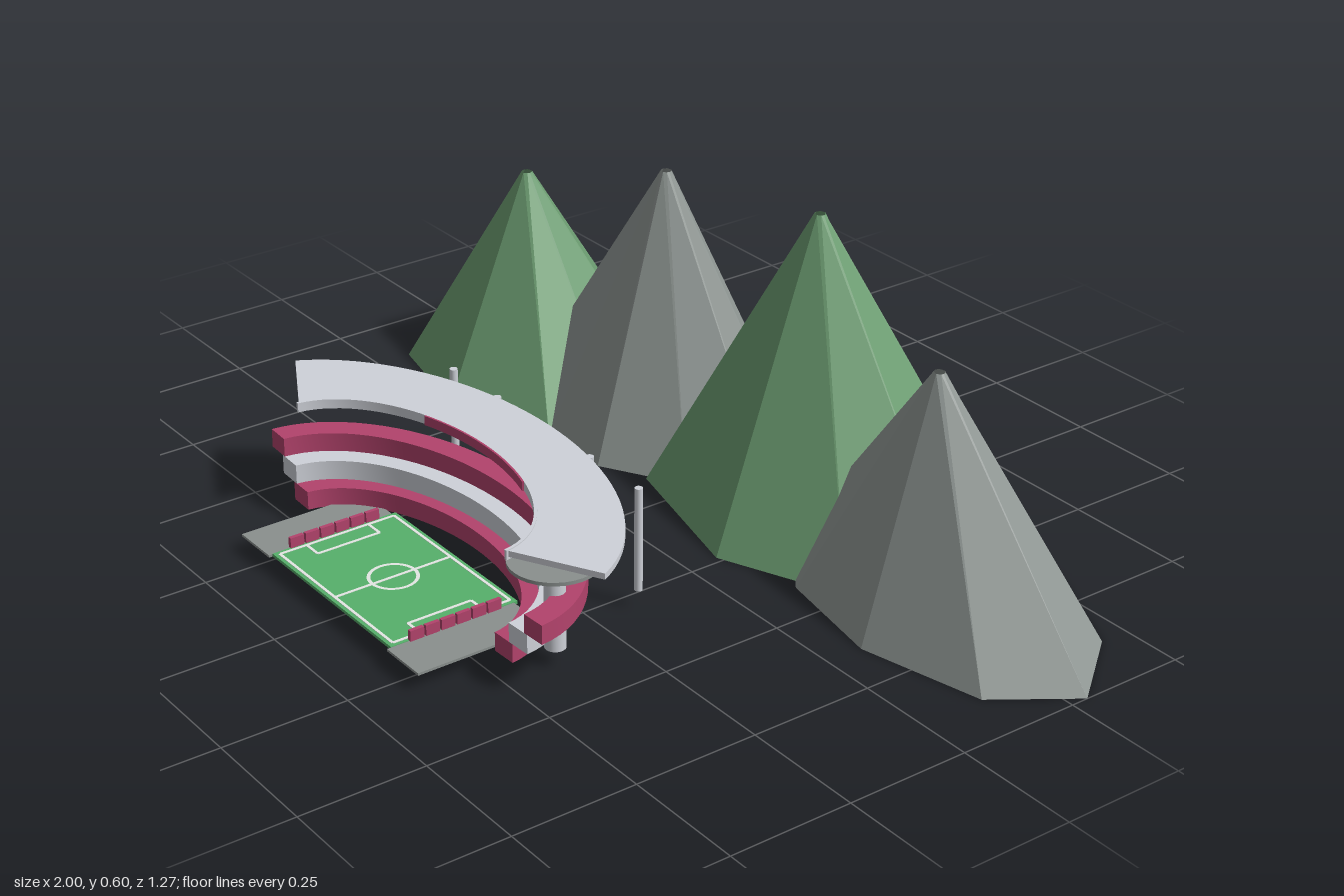
import * as THREE from 'three';
import { toCreasedNormals } from 'three/addons/utils/BufferGeometryUtils.js';

const mat = (name, color, extra = {}) => {
  const m = new THREE.MeshStandardMaterial({ color, ...extra });
  m.name = name;
  return m;
};

export function createModel() {
  const model = new THREE.Group();
  model.name = 'mountainStadium';
  const open = { flatShading: true, side: THREE.DoubleSide };
  const green = mat('hillGreen', 0x6c9c71, open);
  const rock = mat('rockGrey', 0x909794, open);
  const red = mat('standRed', 0xb3436c);
  const light = mat('concreteLight', 0xcfd2d9);
  const grey = mat('apronGrey', 0x8a908e);
  const grass = mat('pitchGreen', 0x57b06b);
  const white = mat('lineWhite', 0xf2f5f2);

  const add = (parent, name, geometry, material, x = 0, y = 0, z = 0) => {
    const mesh = new THREE.Mesh(geometry, material);
    mesh.name = name;
    mesh.position.set(x, y, z);
    parent.add(mesh);
    return mesh;
  };
  const box = (parent, name, w, h, d, material, x, y, z) =>
    add(parent, name, new THREE.BoxGeometry(w, h, d), material, x, y, z);

  // Mountains: open faceted frustums over an irregular foot outline (x, z around the peak)
  const mountain = (name, material, x, z, height, foot) => {
    const n = foot.length, v = [];
    const top = i => {
      const [fx, fz] = foot[i], k = 0.011 / Math.hypot(fx, fz);
      return [fx * k, height, fz * k];
    };
    for (let i = 0; i < n; i++) {
      const j = (i + 1) % n;
      const a = [foot[i][0], 0, foot[i][1]], b = [foot[j][0], 0, foot[j][1]];
      v.push(...a, ...top(j), ...b, ...a, ...top(i), ...top(j));
    }
    const g = new THREE.BufferGeometry();
    g.setAttribute('position', new THREE.Float32BufferAttribute(v, 3));
    g.computeVertexNormals();
    add(model, name, g, material, x, 0, z);
  };
  // Outlines run from the back edge clockwise as seen from above
  mountain('leftGreenMountain', green, -0.67, -0.27, 0.435, [
    [0.07, -0.262], [0.29, -0.16], [0.32, 0], [0.308, 0.166], [0.07, 0.248],
    [-0.176, 0.193], [-0.278, 0.07], [-0.33, -0.075], [-0.198, -0.214]]);
  mountain('leftRockMountain', rock, -0.28, -0.335, 0.55, [
    [0.08, -0.246], [0.245, -0.145], [0.35, 0.005], [0.25, 0.135], [0.086, 0.23],
    [-0.086, 0.225], [-0.325, 0.118], [-0.41, -0.07], [-0.21, -0.235]]);
  mountain('rightGreenMountain', green, 0.155, -0.365, 0.6, [
    [0.075, -0.269], [0.372, -0.19], [0.44, 0.01], [0.33, 0.19], [0.08, 0.296],
    [-0.25, 0.214], [-0.395, 0.01], [-0.195, -0.21]]);
  mountain('rightRockMountain', rock, 0.585, -0.285, 0.465, [
    [0.07, -0.257], [0.294, -0.155], [0.415, 0], [0.31, 0.15], [0.059, 0.209],
    [-0.176, 0.166], [-0.335, 0.045], [-0.305, -0.13], [-0.134, -0.225]]);

  // Stadium, centred on the middle of the pitch
  const stadium = new THREE.Group();
  stadium.name = 'stadium';
  stadium.position.set(-0.008, 0, 0.492);
  model.add(stadium);
  const rad = THREE.MathUtils.degToRad;

  // Curved slab between two elliptical arcs; angles in degrees, 90 is the back
  const arcSlab = (name, material, inner, outer, y0, y1, inAng, outAng = inAng) => {
    const pts = [], n = 40;
    const ring = ([a, b], [s, e], t) => {
      const ang = rad(s + (e - s) * t);
      pts.push(new THREE.Vector2(a * Math.cos(ang), b * Math.sin(ang)));
    };
    for (let i = 0; i <= n; i++) ring(outer, outAng, i / n);
    for (let i = n; i >= 0; i--) ring(inner, inAng, i / n);
    const g = new THREE.ExtrudeGeometry(new THREE.Shape(pts), { depth: y1 - y0, bevelEnabled: false });
    g.rotateX(-Math.PI / 2);
    add(stadium, name, toCreasedNormals(g, 0.5), material, 0, y0, 0);
  };

  // Three stepped tiers
  const span = [3, 177];
  arcSlab('lowerTier', red, [0.318, 0.183], [0.37, 0.217], 0.033, 0.071, span);
  arcSlab('middleTier', light, [0.36, 0.21], [0.413, 0.254], 0.071, 0.11, span);
  arcSlab('upperTier', red, [0.405, 0.247], [0.455, 0.294], 0.11, 0.148, span);

  // Canopy roof with a thicker inner fascia and a red panel on its middle
  arcSlab('roof', light, [0.35, 0.21], [0.538, 0.348], 0.234, 0.246, [5, 175], [18, 162]);
  arcSlab('fascia', light, [0.346, 0.206], [0.352, 0.212], 0.229, 0.248, [4, 176]);
  arcSlab('fasciaPanel', red, [0.342, 0.202], [0.346, 0.206], 0.229, 0.248, [62, 118]);

  // Rear roof posts
  for (const x of [-0.3, -0.15, 0.15, 0.3]) {
    add(stadium, 'roofPost', new THREE.CylinderGeometry(0.008, 0.008, 0.21, 12), light, x, 0.141, -0.336);
  }

  // Lookout tower at the left end of the stand
  add(stadium, 'towerShaft', new THREE.CylinderGeometry(0.02, 0.02, 0.175, 24), light, 0.37, 0.1215, -0.102);
  add(stadium, 'towerDisc', new THREE.CylinderGeometry(0.085, 0.085, 0.007, 32), grey, 0.37, 0.209, -0.102);

  // Pitch, side aprons and advertising boards
  box(stadium, 'pitch', 0.41, 0.006, 0.27, grass, 0, 0.034, 0);
  for (const s of [-1, 1]) {
    box(stadium, 'apron', 0.1, 0.005, 0.27, grey, s * 0.255, 0.0335, 0.008);
    for (let i = 0; i < 6; i++) {
      box(stadium, 'advertBoard', 0.008, 0.021, 0.029, red, s * 0.206, 0.047, -0.0825 + i * 0.033);
    }
  }

  // Painted pitch lines
  const line = (w, d, x, z) => box(stadium, 'pitchLine', w, 0.001, d, white, x, 0.0375, z);
  const t = 0.006;
  line(t, 0.25, 0, 0);
  for (const s of [-1, 1]) {
    line(0.39, t, 0, s * 0.125);
    line(t, 0.25, s * 0.195, 0);
    line(t, 0.135, s * 0.155, 0);
    for (const k of [-1, 1]) line(0.04, t, s * 0.175, k * 0.0675);
  }
  const circle = new THREE.RingGeometry(0.042, 0.049, 32).rotateX(-Math.PI / 2);
  add(stadium, 'centreCircle', circle, white, 0, 0.0381, 0);

  return model;
}
